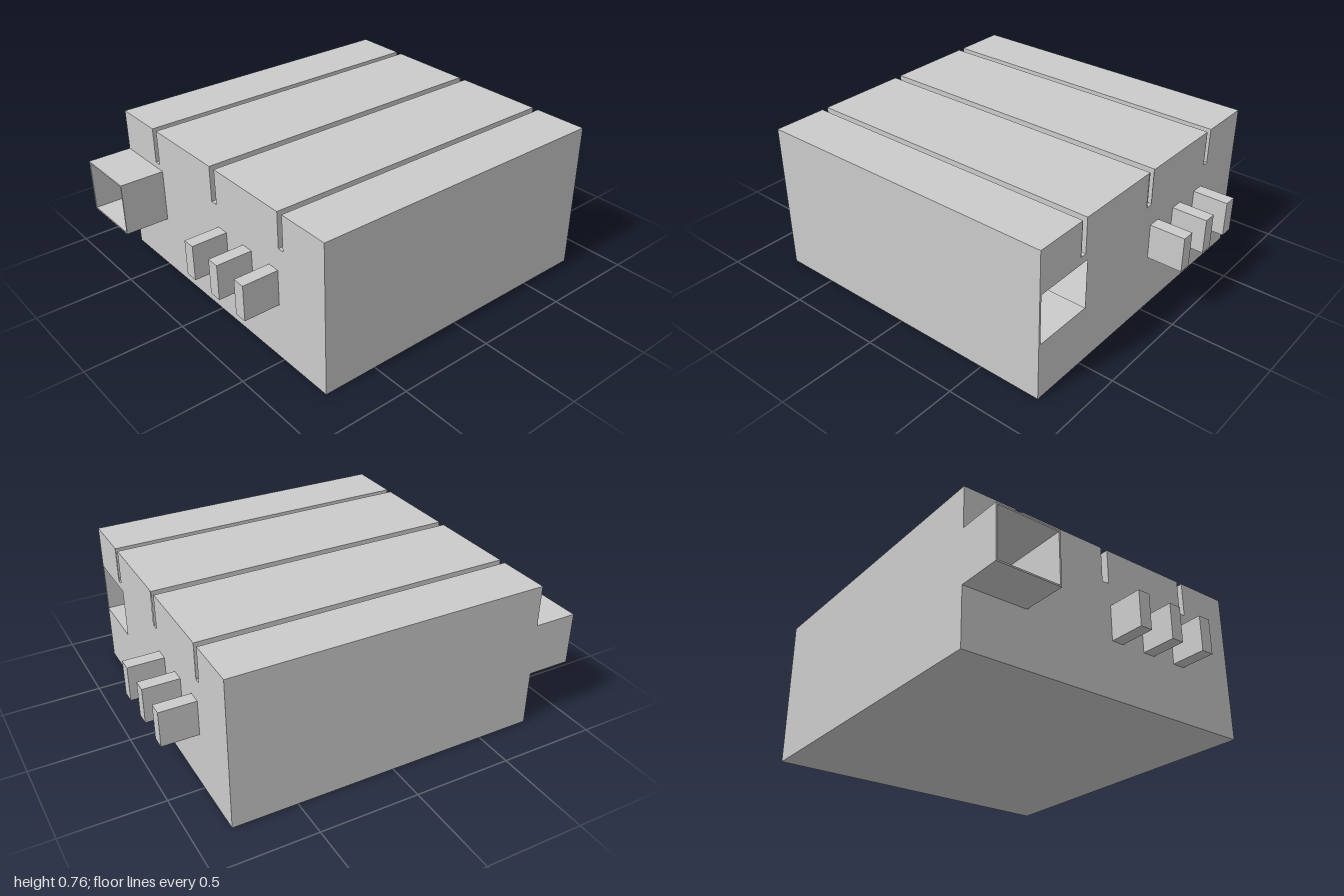
import * as THREE from 'three';

export function createModel() {
  const model = new THREE.Group();
  const mat = new THREE.MeshStandardMaterial({ color: 0xcccccc, flatShading: true, side: THREE.DoubleSide });
  const add = (name, geometry, x = 0, y = 0, z = 0) => {
    const mesh = new THREE.Mesh(geometry, mat);
    mesh.name = name;
    mesh.position.set(x, y, z);
    model.add(mesh);
  };
  const rect = (x0, x1, y0, y1, Type) => new Type([[x0, y0], [x1, y0], [x1, y1], [x0, y1]]
    .map(([x, y]) => new THREE.Vector2(x, y)));

  const W = 0.797, H = 0.765, FRONT = 0.775, BACK = -0.82, slotBottom = 0.585;

  // Body outline with three slots cut into the top
  const outline = [[-W, 0], [W, 0], [W, H]];
  for (const [x, half] of [[0.504, 0.016], [-0.003, 0.019], [-0.506, 0.017]]) {
    outline.push([x + half, H], [x + half, slotBottom], [x - half, slotBottom], [x - half, H]);
  }
  outline.push([-W, H]);

  // Hollow shell: one wall per outline edge
  const walls = [];
  outline.forEach(([x0, y0], i) => {
    const [x1, y1] = outline[(i + 1) % outline.length];
    walls.push(x0, y0, FRONT, x0, y0, BACK, x1, y1, BACK, x0, y0, FRONT, x1, y1, BACK, x1, y1, FRONT);
  });
  const shell = new THREE.BufferGeometry();
  shell.setAttribute('position', new THREE.Float32BufferAttribute(walls, 3));
  shell.computeVertexNormals();
  add('bodyShell', shell);

  // End panels, each with an opening beside one edge
  const panel = (x0, x1) => {
    const shape = new THREE.Shape(outline.map(([x, y]) => new THREE.Vector2(x, y)));
    shape.holes.push(rect(x0, x1, 0.293, 0.547, THREE.Path));
    return new THREE.ShapeGeometry(shape);
  };
  add('frontPanel', panel(-0.787, -0.475), 0, 0, FRONT);
  const backPanel = panel(-0.787, -0.475).rotateY(Math.PI);
  add('backPanel', backPanel, 0, 0, BACK);

  // Square sleeve projecting from the front, reaching into the body
  const sleeve = rect(-W, -0.467, 0.285, 0.555, THREE.Shape);
  sleeve.holes.push(rect(-0.787, -0.475, 0.293, 0.547, THREE.Path));
  add('frontSleeve', new THREE.ExtrudeGeometry(sleeve, { depth: 0.46, bevelEnabled: false }), 0, 0, 0.54);

  // Ledge inside the rear opening
  add('backLedge', new THREE.BoxGeometry(0.32, 0.008, 0.34), 0.633, 0.289, BACK + 0.17);

  // Three prongs on each end
  for (const x of [0.053, 0.249, 0.445]) {
    add('frontProng', new THREE.BoxGeometry(0.065, 0.18, 0.18), x, 0.38, FRONT + 0.09);
    add('backProng', new THREE.BoxGeometry(0.067, 0.18, 0.18), -x - 0.006, 0.38, BACK - 0.09);
  }
  return model;
}
